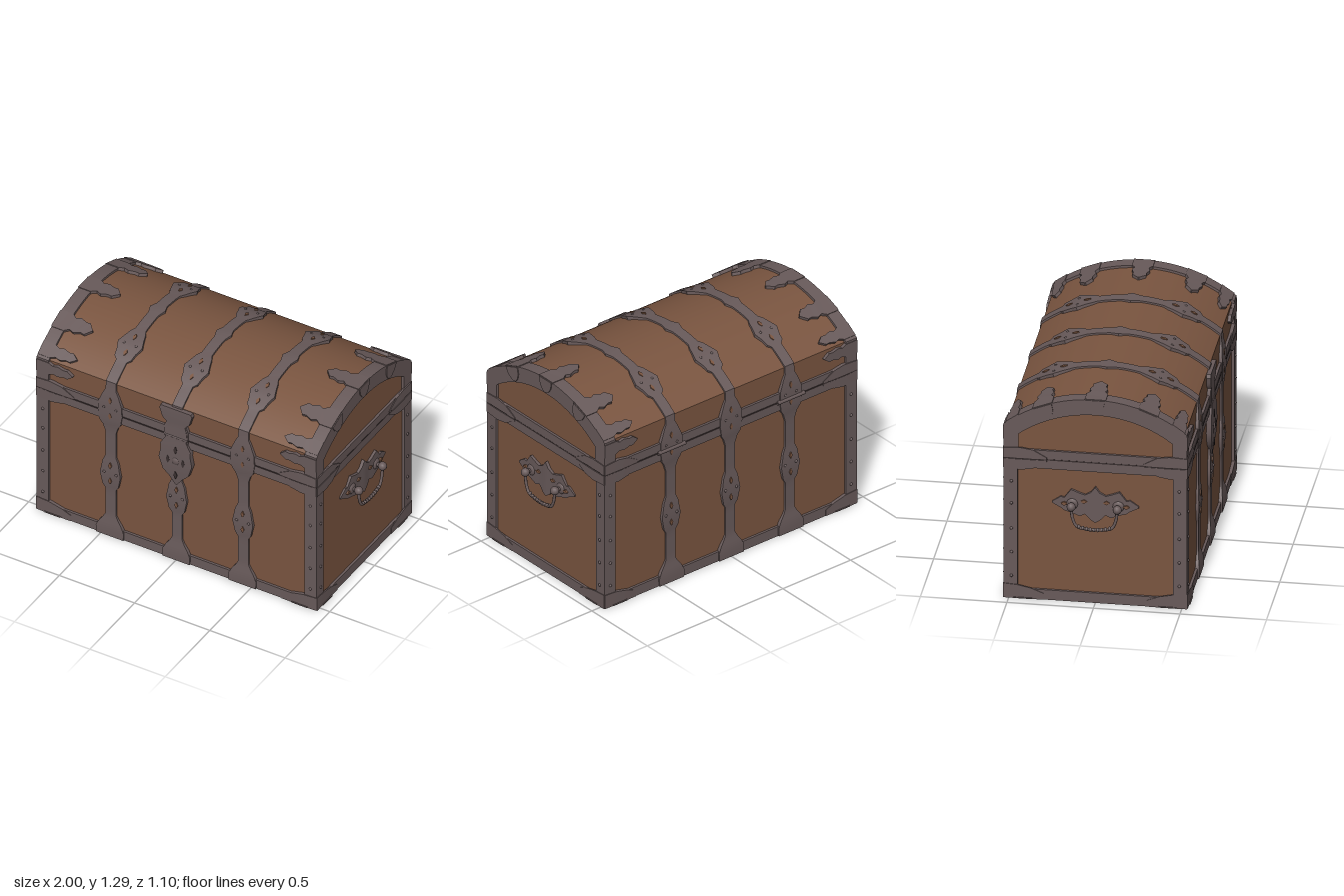
import * as THREE from 'three';
import { toCreasedNormals } from 'three/addons/utils/BufferGeometryUtils.js';

const wood = new THREE.MeshStandardMaterial({ color: 0x7a5540 });
wood.name = 'brown wood';
const iron = new THREE.MeshStandardMaterial({ color: 0x685a5a });
iron.name = 'grey iron';
const dark = new THREE.MeshStandardMaterial({ color: 0x3a3030 });
dark.name = 'dark iron';

// Wooden core: half width, half depth, lid arc
const HX = 0.915, HZ = 0.515, CY = 0.4424, R = 0.83;
const A = Math.asin(HZ / R), EAVE = CY + R * Math.cos(A);
const LEN = 2 * EAVE + 2 * R * A, TOP = LEN / 2;

// Point on the wrap-around skin: s runs from the front floor over the lid to the back floor
function skin(x, s, h) {
  if (s < EAVE) return new THREE.Vector3(x, s, HZ + h);
  if (s > LEN - EAVE) return new THREE.Vector3(x, LEN - s, -HZ - h);
  const t = A - (s - EAVE) / R;
  return new THREE.Vector3(x, CY + (R + h) * Math.cos(t), (R + h) * Math.sin(t));
}

// Plate through sections [u, lo, hi, height] on the surface at(u, v, h)
function plate(sections, at) {
  const pos = [], idx = [], n = sections.length;
  for (const [u, lo, hi, h] of sections)
    for (const [v, k] of [[lo, -0.004], [lo, h], [hi, h], [hi, -0.004]]) pos.push(...at(u, v, k).toArray());
  const [u0, lo0] = sections[0], o = at(u0, lo0, 0);
  const du = at(u0 + Math.sign(sections[1][0] - u0) * 0.001, lo0, 0).sub(o);
  const dv = at(u0, lo0 + 0.001, 0).sub(o), dh = at(u0, lo0, 0.001).sub(o);
  const flip = du.cross(dv).dot(dh) < 0;
  const quad = (a, b, c, d) => (flip ? idx.push(a, c, b, a, d, c) : idx.push(a, b, c, a, c, d));
  for (let i = 0; i < n - 1; i++)
    for (let k = 0; k < 3; k++) quad(i * 4 + k, i * 4 + 4 + k, i * 4 + 5 + k, i * 4 + k + 1);
  quad(0, 1, 2, 3);
  const e = (n - 1) * 4;
  quad(e, e + 3, e + 2, e + 1);
  const g = new THREE.BufferGeometry();
  g.setAttribute('position', new THREE.Float32BufferAttribute(pos, 3));
  g.setIndex(idx);
  return toCreasedNormals(g, 0.6);
}

// Symmetric sections from [u, half width] pairs around centre c, refined to follow curves
function sym(pairs, c, height, step = 1) {
  const out = [];
  pairs.forEach(([u, w], i) => {
    if (i) {
      const [pu, pw] = pairs[i - 1], m = Math.ceil(Math.abs(u - pu) / step);
      for (let k = 1; k < m; k++) {
        const t = k / m, ww = pw + (w - pw) * t;
        out.push([pu + (u - pu) * t, c - ww, c + ww, height(ww)]);
      }
    }
    out.push([u, c - w, c + w, height(w)]);
  });
  return out;
}

// Arched end profile
function archShape(z, y0, cy, r) {
  const a = Math.asin(z / r), s = new THREE.Shape();
  s.moveTo(-z, y0);
  s.lineTo(z, y0);
  s.absarc(0, cy, r, Math.PI / 2 - a, Math.PI / 2 + a, false);
  s.closePath();
  return s;
}
function extrudeX(shape, x0, x1) {
  const g = new THREE.ExtrudeGeometry(shape, { depth: x1 - x0, bevelEnabled: false, curveSegments: 28 });
  g.rotateY(Math.PI / 2).translate(x0, 0, 0);
  return toCreasedNormals(g, 0.6);
}

export function createModel() {
  const root = new THREE.Group();
  root.name = 'chest';
  const add = (name, geo, mat = iron, x = 0, y = 0, z = 0) => {
    const m = new THREE.Mesh(geo, mat);
    m.name = name;
    m.position.set(x, y, z);
    root.add(m);
    return m;
  };
  const box = (name, w, h, d, x, y, z, mat) => add(name, new THREE.BoxGeometry(w, h, d), mat, x, y, z);
  const flat = (h) => () => h;

  // Wooden core and lid
  add('woodenCore', extrudeX(archShape(HZ, 0.004, CY, R), -HX, HX), wood);

  // Iron arches at both lid ends
  const arch = archShape(0.53, 0.9, CY, 0.8446);
  arch.holes.push(archShape(0.445, 0.945, 0.455, 0.735));
  add('lidArch', extrudeX(arch, 0.85, 0.93));
  add('lidArch', extrudeX(arch, -0.93, -0.85));

  // Rim bands, dark seam and base frame
  box('bodyRim', 1.86, 0.055, 1.06, 0, 0.8575, 0);
  box('lidRim', 1.86, 0.055, 1.06, 0, 0.9175, 0);
  box('seam', 1.862, 0.008, 1.068, 0, 0.8875, 0, dark);
  for (const s of [1, -1]) {
    box('baseBand', 1.86, 0.062, 0.025, 0, 0.031, s * 0.5175);
    box('baseBand', 0.025, 0.062, 1.06, s * 0.9175, 0.031, 0);
    for (const t of [1, -1]) {
      box('cornerPost', 0.08, 0.78, 0.08, s * 0.89, 0.44, t * 0.49);
      const foot = add('footPlate', new THREE.CylinderGeometry(0.13, 0.13, 0.006, 8), iron, s * 0.82, 0.005, t * 0.42);
      foot.rotation.y = Math.PI / 8;
    }
  }

  // Straps from front floor, over the lid, to back floor
  const half = [[0, 0.09], [0.05, 0.092], [0.09, 0.072], [0.12, 0.05], [0.15, 0.034], [0.33, 0.034], [0.36, 0.052],
    [0.4, 0.06], [0.44, 0.068], [0.48, 0.06], [0.53, 0.052], [0.57, 0.034], [0.74, 0.034], [0.79, 0.05],
    [0.82, 0.07], [0.88, 0.08], [0.95, 0.078], [0.99, 0.062], [1.02, 0.05], [1.05, 0.034], [EAVE, 0.034],
    [1.23, 0.034], [1.25, 0.055], [1.29, 0.062], [1.34, 0.08], [1.39, 0.062], [1.43, 0.05], [1.46, 0.034],
    [1.6, 0.034], [TOP, 0.05]];
  const full = half.concat(half.slice(0, -1).reverse().map(([s, w]) => [LEN - s, w]));
  const strapHeight = (w) => 0.011 + (w - 0.034) * 0.22;
  const along = (s, x, h) => skin(x, s, h);
  const stud = new THREE.SphereGeometry(0.009, 8, 6);
  for (const x of [-0.44, 0, 0.44]) {
    add('strap', plate(sym(full, x, strapHeight, 0.05), along));
    for (const s0 of [0.45, 0.92, 1.34]) for (const s of [s0, LEN - s0]) {
      if (x === 0 && s === 0.92) continue;
      // Pierced openings and studs on each boss
      for (const d of [-0.055, 0.055]) {
        const c = s + d;
        add('piercing', plate(sym([[c - 0.02, 0.002], [c, 0.011], [c + 0.02, 0.002]], x, flat(0.0225)), along), wood);
      }
      for (const d of [-0.04, 0.04]) add('stud', stud, iron, ...skin(x + d, s, 0.017).toArray());
    }
  }

  // Lock plate and hasp at the front
  add('lockPlate', plate(sym([[0.545, 0.004], [0.6, 0.045], [0.64, 0.085], [0.72, 0.11], [0.78, 0.098],
    [0.82, 0.1], [0.87, 0.07], [0.885, 0.07]], 0, (w) => 0.02 + w * 0.1), along));
  add('hasp', plate(sym([[0.89, 0.075], [0.94, 0.07], [0.98, 0.06], [1.01, 0.09], [1.04, 0.098], [1.07, 0.108],
    [1.09, 0.1]], 0, (w) => 0.018 + w * 0.08), along));
  for (const [x, y] of [[-0.05, 0.72], [0.05, 0.72], [0, 0.62], [0, 0.8]])
    add('lockOpening', plate(sym([[y - 0.025, 0.003], [y, 0.012], [y + 0.025, 0.003]], x, flat(0.032)), along), dark);
  add('lockBoss', new THREE.SphereGeometry(0.03, 12, 8), iron, 0, 0.72, HZ + 0.02).scale.z = 0.6;

  // Hinge barrels
  const barrel = (name, r, len, x, y, z) => {
    add(name, new THREE.CylinderGeometry(r, r, len, 10), iron, x, y, z).rotation.z = Math.PI / 2;
  };
  for (const x of [-0.44, 0.44]) barrel('hingeBarrel', 0.012, 0.2, x, 0.8875, -0.534);
  barrel('haspBarrel', 0.009, 0.15, 0, 0.8875, 0.533);

  for (const sx of [1, -1]) {
    const end = (z, y, h) => new THREE.Vector3(sx * (0.93 + h), y, z);
    const panel = (z, y, h) => new THREE.Vector3(sx * (HX + h), y, z);

    // Leaf-tipped plates running inward from the lid arches
    const leaf = (s, k) => add('lidLeaf', plate(sym([[0.93, 0.06], [0.85, 0.06], [0.82, 0.04], [0.79, 0.052],
      [0.75, 0.036], [0.725, 0.04], [0.69, 0.003]].map(([x, w]) => [sx * x, w * k]), s, flat(0.019)), skin));
    leaf(TOP, 1);
    for (const [s, k] of [[1.34, 1], [1.145, 0.7], [1.045, 0.7]]) { leaf(s, k); leaf(LEN - s, k); }

    // Folded tabs on the face of the arch
    for (const t of [-0.37, 0, 0.37])
      add('archTab', plate(sym([[0.844, 0.055], [0.8, 0.05], [0.77, 0.032], [0.755, 0.01]], t / 1, flat(0.006))
        .map(([r, lo, hi, h]) => [r, t + (lo - t) / 0.84, t + (hi - t) / 0.84, h]),
      (r, a, h) => new THREE.Vector3(sx * (0.93 + h), CY + r * Math.cos(a), r * Math.sin(a))));

    // Tapered corner braces on the rims and base
    for (const sz of [1, -1]) {
      for (const [c, dir] of [[0.884, -1], [0.891, 1]]) {
        const taper = (us) => us.map(([u, w, h]) => [u, Math.min(c, c + dir * w), Math.max(c, c + dir * w), h]);
        add('rimBrace', plate(taper([[sz * 0.53, 0.06, 0.005], [sz * 0.43, 0.066, 0.007], [sz * 0.36, 0.055, 0.006],
          [sz * 0.28, 0.01, 0.004]]), end));
        add('rimBrace', plate(taper([[sx * 0.93, 0.06, 0.019], [sx * 0.83, 0.068, 0.021], [sx * 0.76, 0.055, 0.02],
          [sx * 0.68, 0.01, 0.018]]), (x, y, h) => skin(x, sz > 0 ? y : LEN - y, h)));
      }
      add('baseBrace', plate([[sz * 0.53, 0, 0.09, 0.004], [sz * 0.45, 0, 0.085, 0.005], [sz * 0.37, 0, 0.068, 0.004],
        [sz * 0.3, 0, 0.04, 0.003]], end));
      add('baseBrace', plate([[sx * 0.93, 0, 0.09, 0.018], [sx * 0.84, 0, 0.085, 0.02], [sx * 0.76, 0, 0.065, 0.019],
        [sx * 0.7, 0, 0.04, 0.018]], (x, y, h) => skin(x, sz > 0 ? y : LEN - y, h)));
      // Studs on the posts
      for (const y of [0.14, 0.29, 0.44, 0.6, 0.74]) {
        add('postStud', stud, iron, sx * 0.93, y, sz * 0.485);
        add('postStud', stud, iron, sx * 0.888, y, sz * 0.53);
      }
    }

    // Handle backplate with piercings
    const wing = [[0.25, 0.615, 0.625], [0.2, 0.59, 0.66], [0.18, 0.575, 0.655], [0.14, 0.565, 0.71], [0.09, 0.545, 0.69],
      [0.06, 0.56, 0.68], [0.025, 0.525, 0.7]].map(([z, a, b]) => [z, a, b, 0.008 + (b - a) * 0.06]);
    add('handlePlate', plate([...wing, [0, 0.51, 0.735, 0.02], ...wing.slice().reverse().map(([z, ...r]) => [-z, ...r])], panel));
    for (const [z, y] of [[0.18, 0.62], [0.065, 0.64], [-0.065, 0.64], [-0.18, 0.62]])
      add('piercing', plate(sym([[z - 0.018, 0.002], [z, 0.012], [z + 0.018, 0.002]], y, flat(0.0235)), panel), wood);

    // Handle pivots, knobs and swinging bail
    for (const sz of [1, -1]) {
      barrel('handlePost', 0.013, 0.07, sx * 0.95, 0.62, sz * 0.133);
      add('handleKnob', new THREE.SphereGeometry(0.026, 12, 8), iron, sx * 0.974, 0.62, sz * 0.133);
      add('postCollar', new THREE.SphereGeometry(0.034, 12, 8), iron, sx * 0.93, 0.62, sz * 0.133).scale.x = 0.4;
    }
    const bail = [[0.62, 0.133], [0.55, 0.125], [0.5, 0.1], [0.487, 0.05], [0.484, 0], [0.487, -0.05], [0.5, -0.1],
      [0.55, -0.125], [0.62, -0.133]].map(([y, z]) => new THREE.Vector3(sx * 0.974, y, z));
    add('handleBail', new THREE.TubeGeometry(new THREE.CatmullRomCurve3(bail), 40, 0.009, 8));
    for (let i = -4; i <= 4; i++) {
      const bead = add('bailBead', new THREE.SphereGeometry(0.014, 8, 6), iron, sx * 0.974, 0.484 + 0.0009 * i * i, i * 0.022);
      bead.scale.set(0.9, 0.9, 0.7);
    }
    add('knobTip', new THREE.SphereGeometry(0.01, 8, 6), iron, sx * 0.99, 0.62, 0.133);
    add('knobTip', new THREE.SphereGeometry(0.01, 8, 6), iron, sx * 0.99, 0.62, -0.133);
  }
  return root;
}
